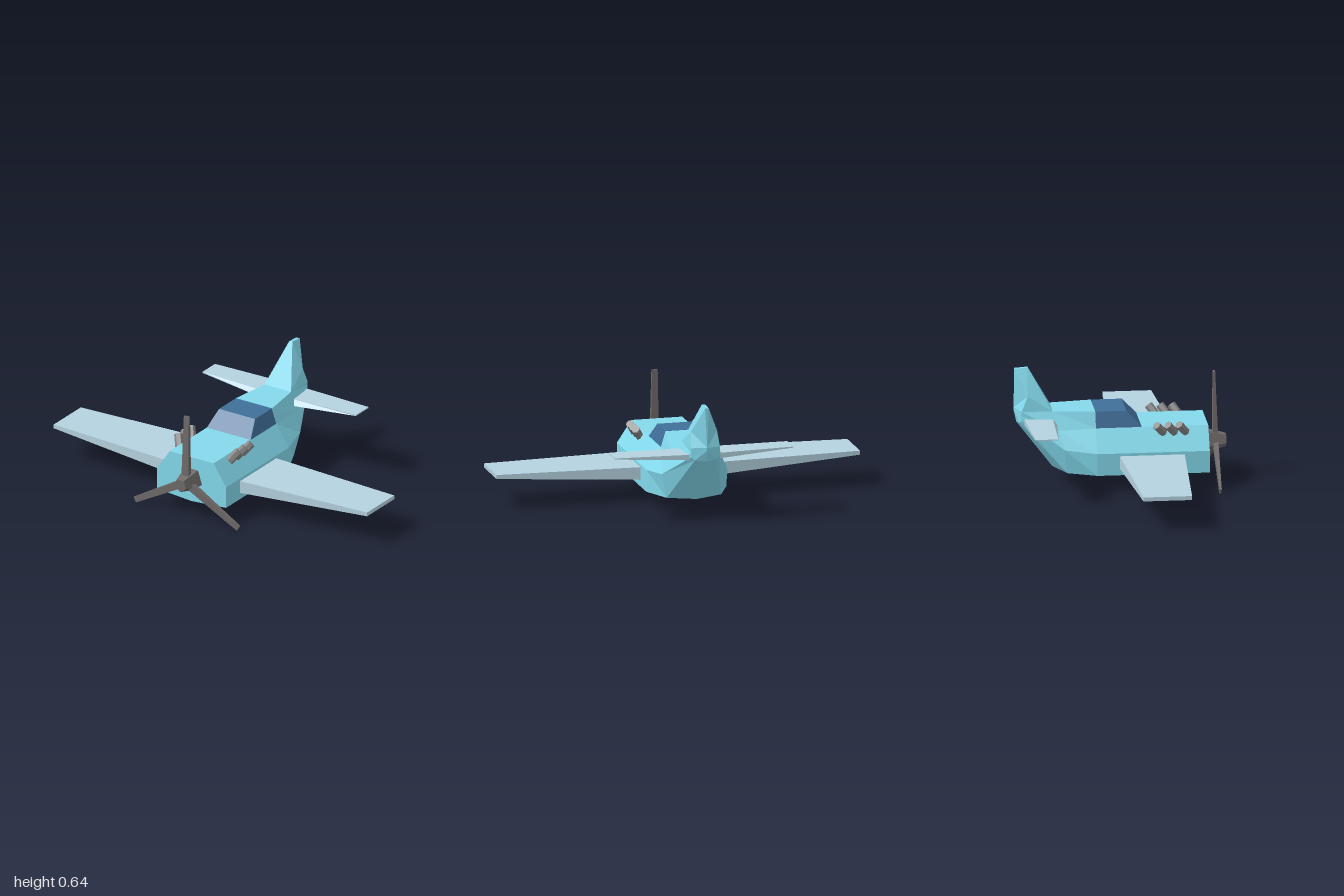
import * as THREE from 'three';

const mat = (color) => new THREE.MeshStandardMaterial({ color, flatShading: true });

// Flat-shaded mesh from a list of polygons (corners counter-clockwise from outside)
function polyMesh(name, polys, material) {
  const pos = [];
  const v = (p) => new THREE.Vector3(...p);
  for (const p of polys) {
    for (let i = 1; i < p.length - 1; i++) {
      const [a, b, c] = [v(p[0]), v(p[i]), v(p[i + 1])];
      const area = b.clone().sub(a).cross(c.clone().sub(a)).length();
      if (area > 1e-8) pos.push(...a, ...b, ...c);
    }
  }
  const g = new THREE.BufferGeometry();
  g.setAttribute('position', new THREE.Float32BufferAttribute(pos, 3));
  g.computeVertexNormals();
  const mesh = new THREE.Mesh(g, material);
  mesh.name = name;
  return mesh;
}

const mirror = ([x, y, z]) => [-x, y, z];

// Skin through closed rings, capped at both ends
function loft(rings) {
  const polys = [[...rings[0]].reverse(), rings[rings.length - 1]];
  for (let i = 0; i < rings.length - 1; i++) {
    const [a, b] = [rings[i], rings[i + 1]];
    a.forEach((p, j) => {
      const k = (j + 1) % a.length;
      polys.push([p, a[k], b[k], b[j]]);
    });
  }
  return polys;
}
const mirrorPolys = (polys) => polys.map((p) => p.map(mirror).reverse());

// Complete a half ring (top to keel on the +x side)
const fullRing = (half) => [...half, ...half.slice(0, -1).reverse().map(mirror)];

export function createModel() {
  const model = new THREE.Group();
  const blue = mat(0x83d9ec);
  const pale = mat(0xb4d2df);
  const glass = mat(0x3f6f99);
  const grey = mat(0x858585);
  const darkGrey = mat(0x6e6a69);

  // Fuselage: top, shoulder, side, chine and keel at each station
  const hull = [
    [[0.14, 0.33, 0.46], [0.14, 0.33, 0.46], [0.22, 0.21, 0.46], [0.22, 0.09, 0.46], [0, 0.073, 0.46]],
    [[0.14, 0.33, -0.14], [0.14, 0.33, -0.14], [0.22, 0.21, -0.14], [0.22, 0.09, -0.14], [0, 0.085, -0.14]],
    [[0.115, 0.415, -0.14], [0.14, 0.33, -0.14], [0.22, 0.21, -0.14], [0.22, 0.09, -0.14], [0, 0.085, -0.14]],
    [[0.085, 0.415, -0.365], [0.13, 0.32, -0.34], [0.18, 0.225, -0.31], [0.15, 0.09, -0.295], [0, 0.09, -0.36]],
    [[0.08, 0.415, -0.53], [0.08, 0.39, -0.53], [0.08, 0.365, -0.53], [0.06, 0.35, -0.54], [0, 0.34, -0.55]],
    [[0, 0.42, -0.565], [0, 0.42, -0.565], [0, 0.42, -0.565], [0, 0.41, -0.565], [0, 0.4, -0.564]],
  ];
  model.add(polyMesh('fuselage', loft(hull.map(fullRing)), blue));

  // Canopy: sloped windscreen, flush with the spine behind
  const cb = [[0.14, 0.33, 0.105], [0.14, 0.33, -0.14], [-0.14, 0.33, -0.14], [-0.14, 0.33, 0.105]];
  const ct = [[0.115, 0.415, 0.025], [0.115, 0.415, -0.136], [-0.115, 0.415, -0.136], [-0.115, 0.415, 0.025]];
  model.add(polyMesh('canopy', loft([cb, ct]), glass));

  // Tail fin
  const base = [0.085, 0.415, -0.365], bulge = [0.072, 0.497, -0.497];
  const tipFront = [0.01, 0.64, -0.49], tipBack = [0.01, 0.635, -0.56];
  const tail = [0.08, 0.415, -0.53], rear = [0, 0.42, -0.565];
  const finSide = [
    [base, bulge, tipFront], [base, tail, bulge], [bulge, tipBack, tipFront],
    [bulge, rear, tipBack], [bulge, tail, rear],
  ];
  const finMiddle = [
    [mirror(base), base, tipFront, mirror(tipFront)],
    [rear, mirror(tipBack), tipBack],
    [tipFront, tipBack, mirror(tipBack), mirror(tipFront)],
  ];
  model.add(polyMesh('tailFin', [...finSide, ...mirrorPolys(finSide), ...finMiddle], blue));

  // Aerofoil station: top and bottom edges at x
  const station = (x, top, bottom, front, back, frontLow = front) =>
    [[x, top, front], [x, bottom, frontLow], [x, bottom, back], [x, top, back]];
  const wing = loft([
    station(0.15, 0.195, 0.122, 0.33, -0.024),
    station(1, 0.194, 0.172, 0.28, 0.02),
  ]);
  const tailplane = loft([
    station(0.05, 0.376, 0.344, -0.364, -0.518, -0.338),
    station(0.49, 0.379, 0.373, -0.378, -0.5),
  ]);
  for (const [name, polys] of [['Wing', wing], ['Tailplane', tailplane]]) {
    model.add(polyMesh('left' + name, polys, pale));
    model.add(polyMesh('right' + name, mirrorPolys(polys), pale));
  }

  // Exhaust stubs, three per side
  const stub = new THREE.CylinderGeometry(0.023, 0.023, 0.075, 6);
  for (const s of [1, -1]) {
    for (let i = 0; i < 3; i++) {
      const e = new THREE.Mesh(stub, grey);
      e.name = (s > 0 ? 'left' : 'right') + 'Exhaust' + (i + 1);
      e.position.set(s * 0.175, 0.326, 0.318 - i * 0.06);
      const dir = new THREE.Vector3(s * 0.03, 0.045, -0.035).normalize();
      e.quaternion.setFromUnitVectors(new THREE.Vector3(0, 1, 0), dir);
      model.add(e);
    }
  }

  // Propeller: five-sided hub and three tapered blades
  const propeller = new THREE.Group();
  propeller.name = 'propeller';
  propeller.position.set(0, 0.206, 0.505);
  const hub = new THREE.Mesh(
    new THREE.CylinderGeometry(0.038, 0.07, 0.11, 5).rotateX(Math.PI / 2), darkGrey);
  hub.name = 'hub';
  hub.position.z = 0.009;
  propeller.add(hub);
  const bladeRing = (y, w, d, z) =>
    [[w, y, z + d], [w, y, z - d], [-w, y, z - d], [-w, y, z + d]];
  const blade = loft([bladeRing(0.02, 0.022, 0.014, 0.007), bladeRing(0.38, 0.016, 0.006, 0)]);
  for (let i = 0; i < 3; i++) {
    const b = polyMesh('blade' + (i + 1), blade, darkGrey);
    b.rotation.z = (i * Math.PI * 2) / 3;
    propeller.add(b);
  }
  model.add(propeller);

  return model;
}
